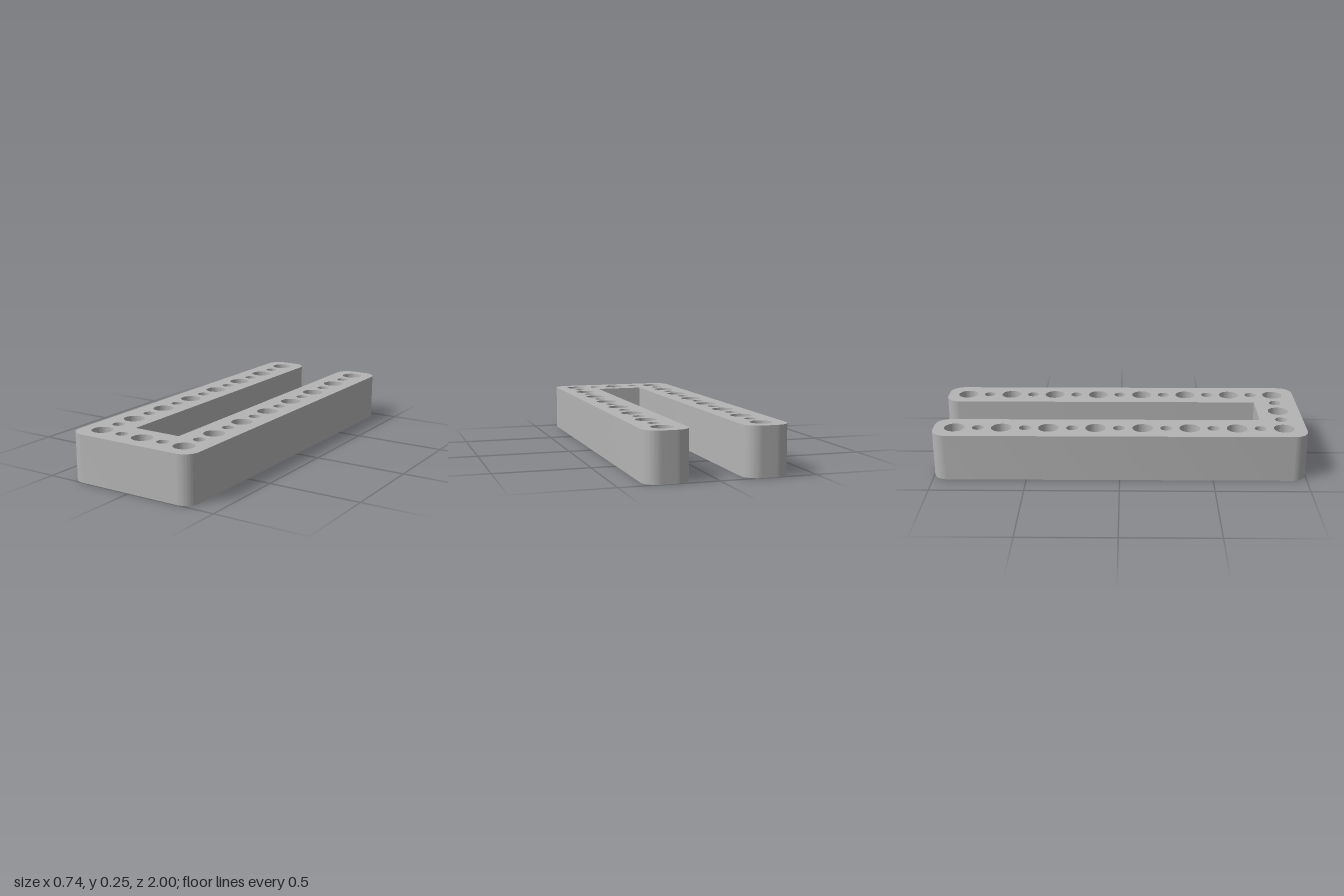
import * as THREE from 'three';
import { toCreasedNormals } from 'three/addons/utils/BufferGeometryUtils.js';

const HEIGHT = 0.253;
const HALF_W = 0.369;     // outer half width
const SLOT = 0.134;       // half width of the slot
const SLOT_END = -0.762;  // closed end of the slot (shape y = -z)
const R = 0.08;           // corner radius
const PITCH = 0.2525;     // spacing of the large holes
const FIRST = -0.88;      // row of holes in the crossbar

// U-shaped outline with rounded outer corners and a square-cornered slot
function outline() {
  const s = new THREE.Shape();
  const q = Math.PI / 2;
  s.moveTo(-HALF_W + R, -1);
  s.absarc(HALF_W - R, -1 + R, R, -q, 0, false);
  s.absarc(HALF_W - R, 1 - R, R, 0, q, false);
  s.absarc(SLOT + R, 1 - R, R, q, 2 * q, false);
  s.lineTo(SLOT, SLOT_END);
  s.lineTo(-SLOT, SLOT_END);
  s.absarc(-SLOT - R, 1 - R, R, 0, q, false);
  s.absarc(-HALF_W + R, 1 - R, R, q, 2 * q, false);
  s.absarc(-HALF_W + R, -1 + R, R, 2 * q, 3 * q, false);
  return s;
}

export function createModel() {
  const group = new THREE.Group();
  group.name = 'perforatedFrame';
  const grey = new THREE.MeshStandardMaterial({ color: 0xb4b4b4 });
  grey.name = 'plainGrey';

  const shape = outline();
  const addHole = (x, y, large) => {
    const hole = new THREE.Path();
    hole.absarc(x, y, large ? 0.055 : 0.032, 0, Math.PI * 2, true);
    shape.holes.push(hole);
  };

  // Alternating large and small holes along both arms
  for (const x of [-PITCH, PITCH]) {
    for (let i = 0; i < 15; i++) addHole(x, FIRST + i * PITCH / 2, i % 2 === 0);
  }
  // Holes across the closed end
  for (let i = -1; i <= 1; i++) addHole(i * PITCH / 2, FIRST, i === 0);

  let geometry = new THREE.ExtrudeGeometry(shape, {
    depth: HEIGHT, bevelEnabled: false, curveSegments: 20,
  });
  geometry.rotateX(-Math.PI / 2);
  geometry = toCreasedNormals(geometry, Math.PI / 6);
  geometry.clearGroups();

  const frame = new THREE.Mesh(geometry, grey);
  frame.name = 'uFrame';
  group.add(frame);
  return group;
}
